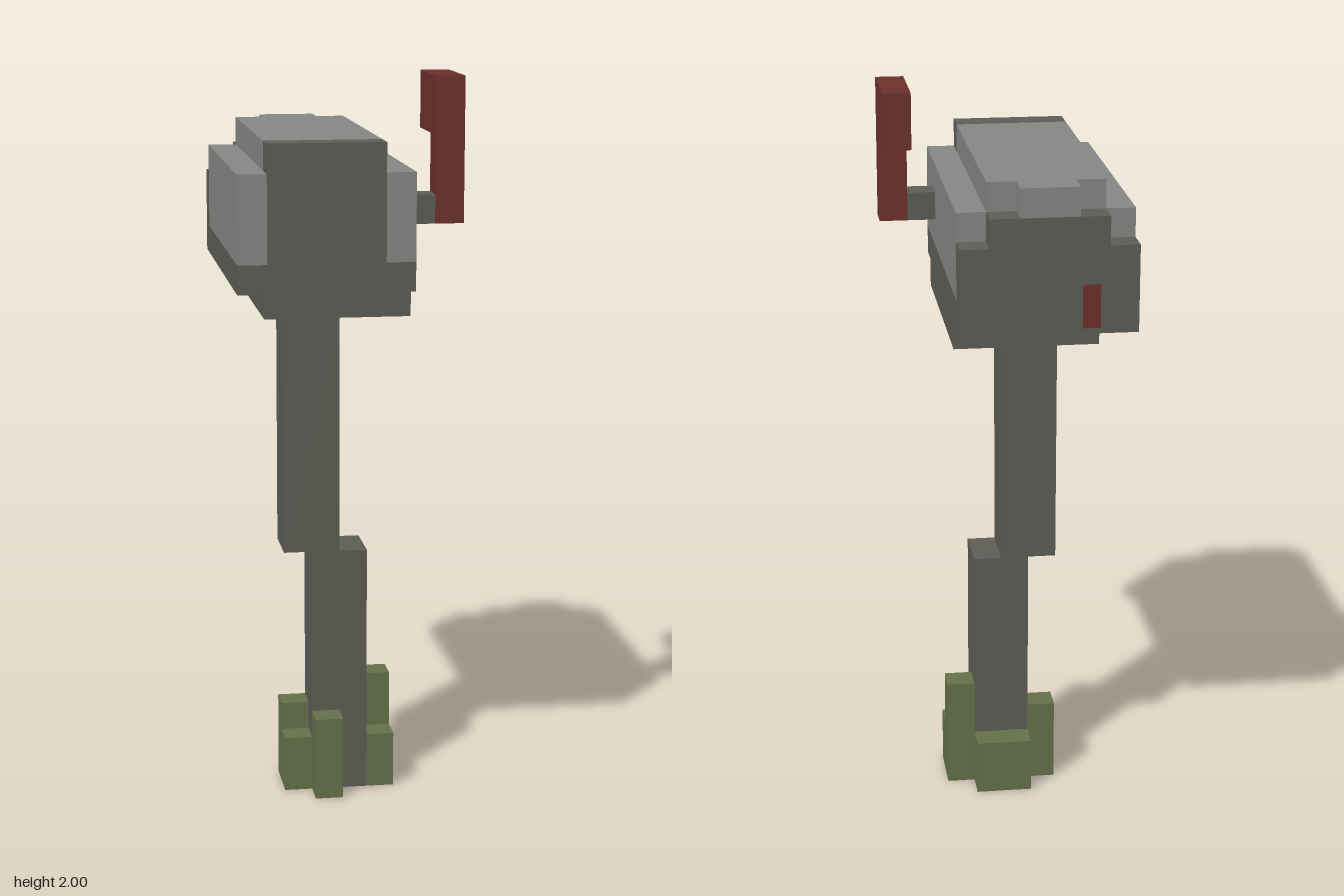
import * as THREE from 'three';

const U = 1 / 13; // size of one block

const mat = (name, color) => {
  const m = new THREE.MeshStandardMaterial({ color });
  m.name = name;
  return m;
};

export function createModel() {
  const light = mat('light grey metal', 0x858884);
  const dark = mat('dark grey metal', 0x5e5e56);
  const red = mat('red paint', 0x6e312c);
  const green = mat('grass green', 0x66714a);

  const model = new THREE.Group();
  model.name = 'mailbox';

  const group = (name) => {
    const g = new THREE.Group();
    g.name = name;
    model.add(g);
    return g;
  };

  // Box given by its limits on each axis, in blocks
  const block = (parent, name, material, [x0, x1], [y0, y1], [z0, z1]) => {
    const geo = new THREE.BoxGeometry((x1 - x0) * U, (y1 - y0) * U, (z1 - z0) * U);
    const mesh = new THREE.Mesh(geo, material);
    mesh.position.set((x0 + x1) * U / 2, (y0 + y1) * U / 2, (z0 + z1) * U / 2);
    mesh.name = name;
    parent.add(mesh);
  };

  // Post in two offset halves
  const post = group('post');
  block(post, 'lowerPost', dark, [-1, 1], [0, 9], [-0.5, 1.5]);
  block(post, 'upperPost', dark, [-2, 0], [9, 18], [-0.5, 1.5]);

  // Box body
  const body = group('box');
  block(body, 'tray', dark, [-3, 2], [18, 19], [-3.5, 4.5]);
  block(body, 'base', dark, [-4, 2], [19, 20], [-4.5, 5.5]);
  block(body, 'shell', light, [-4, 2], [20, 23], [-4.5, 4.5]);
  block(body, 'roof', light, [-3, 1], [23, 24], [-4.5, 4.5]);

  // Front door between two light side walls
  block(body, 'door', dark, [-3, 1], [20, 24], [4.5, 5.5]);
  for (const x of [-4, 1]) block(body, 'sideWallEnd', light, [x, x + 1], [20, 23], [4.5, 5.5]);

  // Stepped back panel
  block(body, 'backPanel', dark, [-4, 2], [19, 22], [-5.5, -4.5]);
  block(body, 'backPanelStep', dark, [-3, 1], [22, 23], [-5.5, -4.5]);
  block(body, 'roofEnd', light, [-2, 0], [23, 24], [-5.5, -4.5]);
  block(body, 'backMark', red, [-2.7, -2.1], [19.2, 20.7], [-5.53, -5.5]);

  // Signal flag
  const flag = group('flag');
  block(flag, 'flagArm', dark, [2, 3], [21, 22], [2.5, 3.5]);
  block(flag, 'flagStem', red, [3, 4], [21, 26], [2.5, 3.5]);
  block(flag, 'flagPlate', red, [3, 4], [24, 26], [0.5, 2.5]);

  // Grass tufts around the post
  const grass = group('grass');
  block(grass, 'frontTuft', green, [-1, 0], [0, 3], [1.5, 2.5]);
  block(grass, 'backTuft', green, [-1, 1], [0, 2], [-1.5, -0.5]);
  for (const [x, h] of [[1, 4], [-2, 3]]) {
    block(grass, 'tallSideTuft', green, [x, x + 1], [0, h], [-0.5, 0.5]);
    block(grass, 'lowSideTuft', green, [x, x + 1], [0, 2], [0.5, 1.5]);
  }

  return model;
}
